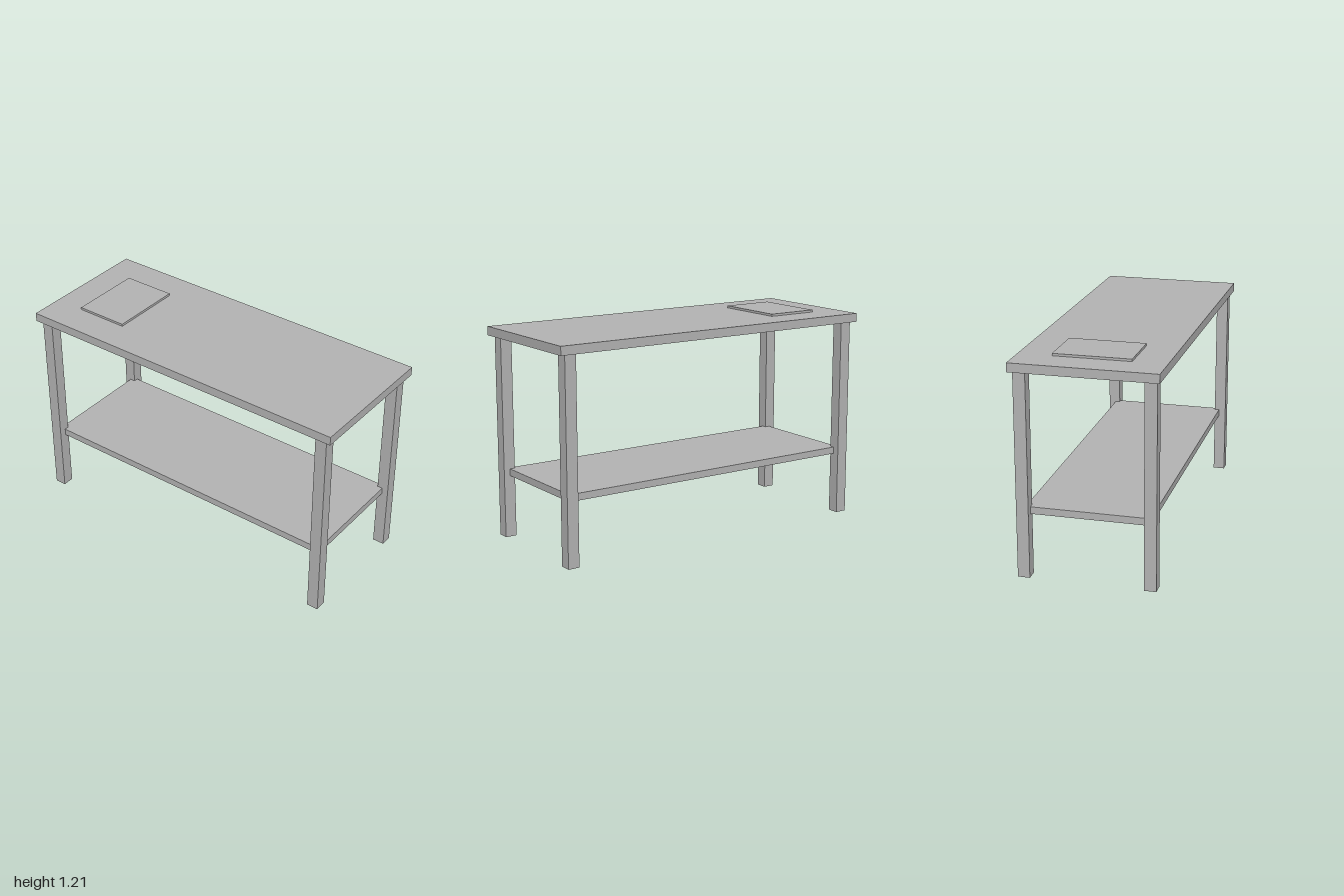
import * as THREE from 'three';

export function createModel() {
  const model = new THREE.Group();
  model.name = 'workbench';
  const grey = new THREE.MeshStandardMaterial({ color: 0xb3b3b3 });
  grey.name = 'grey';

  // Box given by its size, bottom height and centre on the floor plan
  function addBox(name, width, height, depth, x, bottom, z) {
    const mesh = new THREE.Mesh(new THREE.BoxGeometry(width, height, depth), grey);
    mesh.name = name;
    mesh.position.set(x, bottom + height / 2, z);
    model.add(mesh);
  }

  // Worktop with a thin raised plate on its right end
  addBox('worktop', 2, 0.05, 0.8, 0, 1.15, 0);
  addBox('raisedPlate', 0.306, 0.013, 0.426, -0.668, 1.2, 0);

  // Lower shelf, its corners let into the legs
  addBox('lowerShelf', 1.86, 0.04, 0.68, 0, 0.355, 0);

  // Four square legs
  for (const [side, sx] of [['Left', 1], ['Right', -1]]) {
    for (const [end, sz] of [['front', 1], ['back', -1]]) {
      addBox(`${end}${side}Leg`, 0.067, 1.15, 0.067, sx * 0.933, 0, sz * 0.347);
    }
  }
  return model;
}
